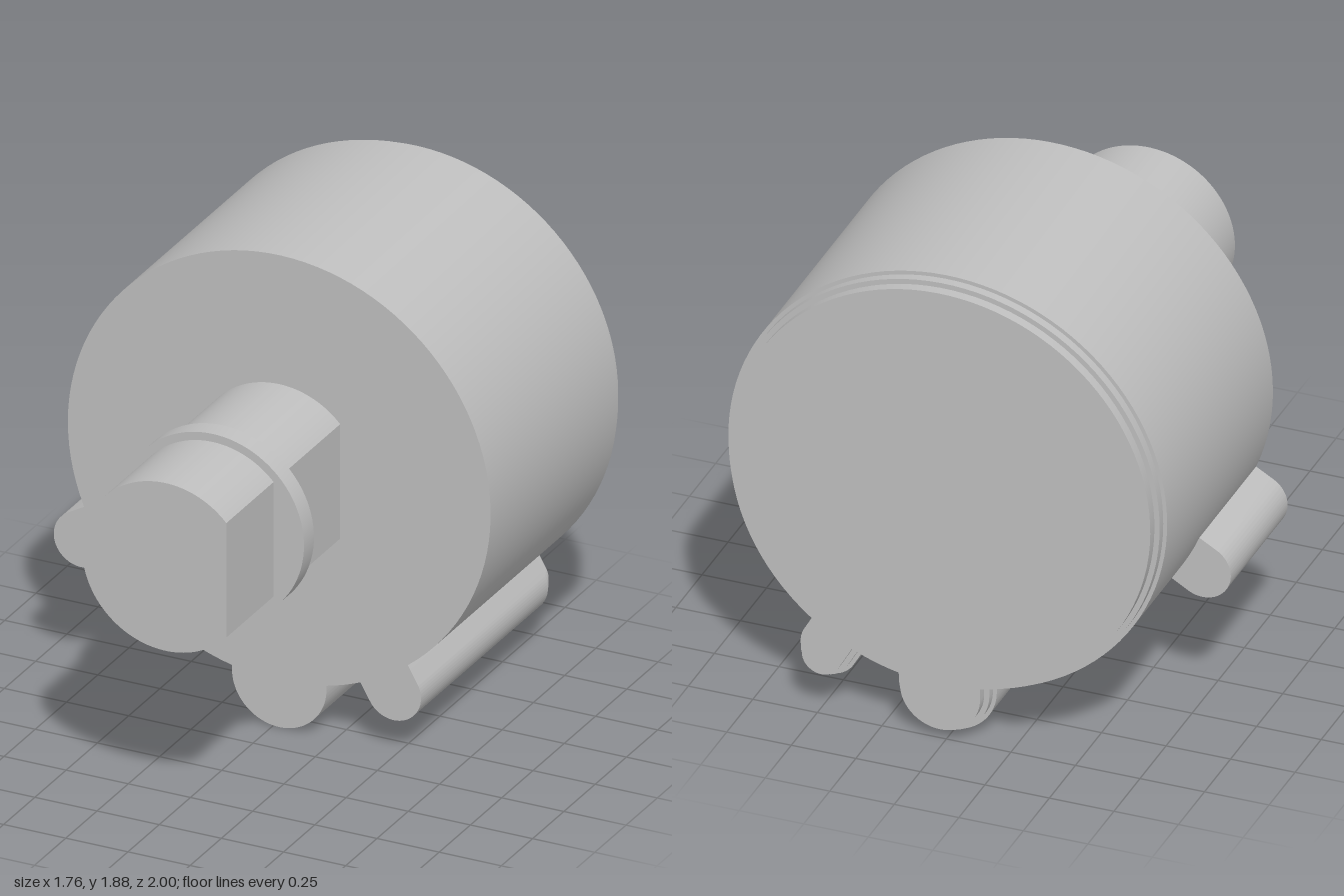
import * as THREE from 'three';
import { toCreasedNormals } from 'three/addons/utils/BufferGeometryUtils.js';

const CX = 0.025, CY = 1.035;      // shared axis of body and shaft
const BODY_R = 0.85;
const rad = THREE.MathUtils.degToRad;

// Rounded ribs along the body: direction, distance from the axis, radius
const bottomRib = { angle: rad(270), dist: 0.845, r: 0.19 };
const sideRib = { angle: rad(300), dist: 0.92, r: 0.11 };
const shortRib = { angle: rad(210), dist: 0.92, r: 0.11 };

const halfAngle = (rib, inset) => Math.asin((rib.r - inset) / (BODY_R - inset));

// Half-round outer end of a rib
function addRibEnd(shape, rib, inset) {
  shape.absarc(Math.cos(rib.angle) * rib.dist, Math.sin(rib.angle) * rib.dist, rib.r - inset,
    rib.angle - Math.PI / 2, rib.angle + Math.PI / 2, false);
}

// Round body outline with two full-length ribs, shrunk by inset
function bodyOutline(inset) {
  const shape = new THREE.Shape();
  const R = BODY_R - inset;
  const a = halfAngle(bottomRib, inset), b = halfAngle(sideRib, inset);
  shape.absarc(0, 0, R, sideRib.angle - Math.PI * 2 + b, bottomRib.angle - a, false);
  addRibEnd(shape, bottomRib, inset);
  shape.absarc(0, 0, R, bottomRib.angle + a, sideRib.angle - b, false);
  addRibEnd(shape, sideRib, inset);
  shape.closePath();
  return shape;
}

// Short rib outline, its inner edge following the body
function shortRibOutline() {
  const shape = new THREE.Shape();
  const h = halfAngle(shortRib, 0);
  shape.absarc(0, 0, BODY_R - 0.003, shortRib.angle + h, shortRib.angle - h, true);
  addRibEnd(shape, shortRib, 0);
  shape.closePath();
  return shape;
}

// Circle cut by a flat on the +x side
function shaftOutline(r, flatX) {
  const a = Math.acos(flatX / r);
  const shape = new THREE.Shape();
  shape.absarc(0, 0, r, a, Math.PI * 2 - a, false);
  shape.closePath();
  return shape;
}

export function createModel() {
  const group = new THREE.Group();
  const grey = new THREE.MeshStandardMaterial({ color: 0xbfbfbf });
  grey.name = 'grey';

  function addPart(name, shape, zBack, zFront) {
    const solid = new THREE.ExtrudeGeometry(shape,
      { depth: zFront - zBack, bevelEnabled: false, curveSegments: 48 });
    const mesh = new THREE.Mesh(toCreasedNormals(solid, rad(25)), grey);
    mesh.name = name;
    mesh.position.set(CX, CY, zBack);
    group.add(mesh);
  }

  // Body with two stepped rims at the back
  addPart('body', bodyOutline(0), -0.925, 0.09);
  addPart('outerBackStep', bodyOutline(0.015), -0.96, -0.925);
  addPart('innerBackStep', bodyOutline(0.035), -1, -0.96);
  addPart('shortRib', shortRibOutline(), -0.455, 0.09);

  // Shaft with one flat side and a round collar
  addPart('shaft', shaftOutline(0.335, 0.245), 0.09, 1);
  const collar = new THREE.Shape();
  collar.absarc(0, 0, 0.367, 0, Math.PI * 2, false);
  addPart('collar', collar, 0.542, 0.622);

  return group;
}
